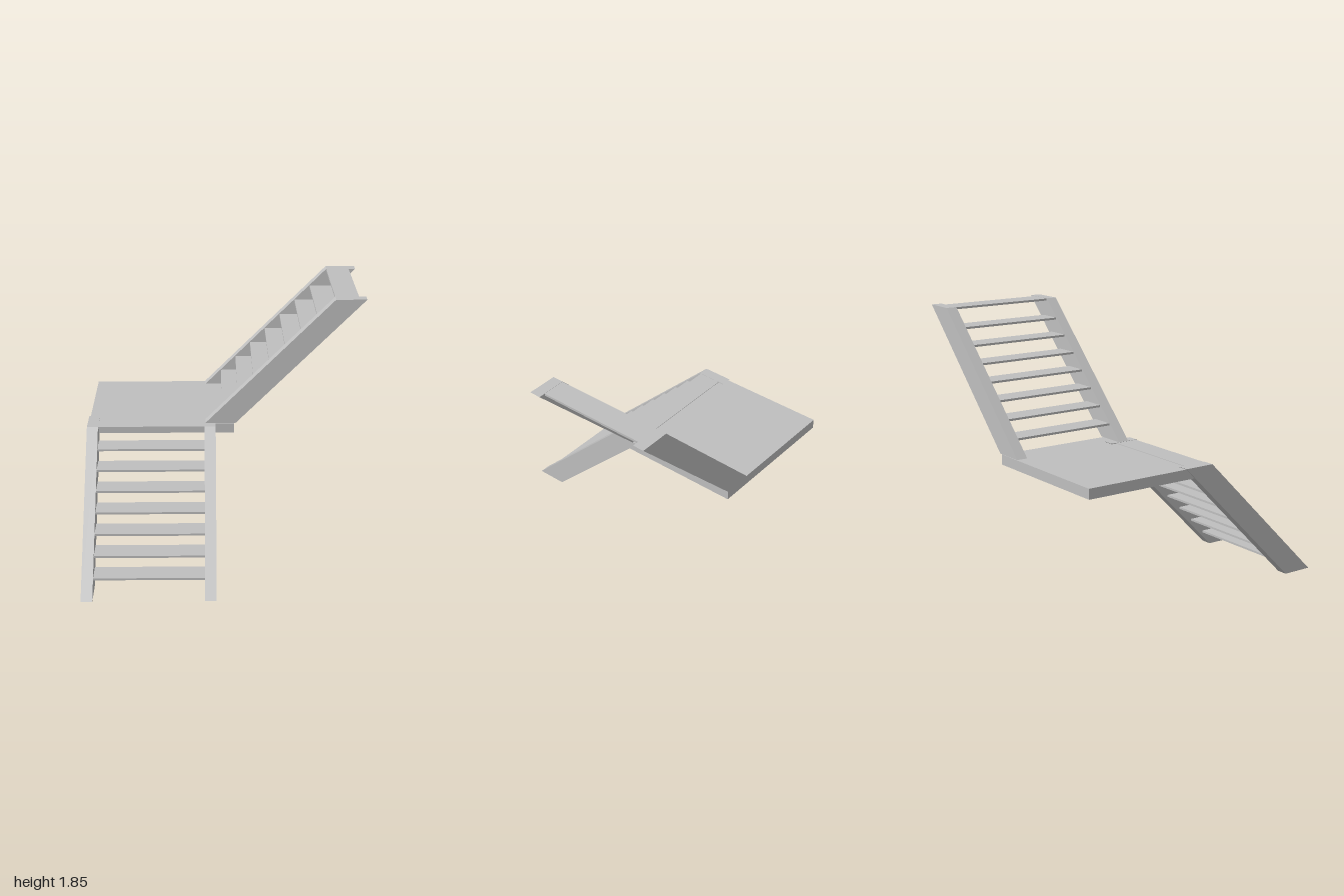
import * as THREE from 'three';

const WIDTH = 0.93, BOARD = 0.08, FOOT = 0.22, TREAD = 0.17, THICK = 0.015;

function addBox(parent, name, material, x0, x1, y0, y1, z0, z1) {
  const mesh = new THREE.Mesh(new THREE.BoxGeometry(x1 - x0, y1 - y0, z1 - z0), material);
  mesh.position.set((x0 + x1) / 2, (y0 + y1) / 2, (z0 + z1) / 2);
  mesh.name = name;
  parent.add(mesh);
}

// One straight flight climbing along local +x at 45 degrees, with open risers
function makeFlight(name, rise, material) {
  const flight = new THREE.Group();
  flight.name = name;

  // Sloped side boards, cut level at both ends
  const side = new THREE.Shape([
    new THREE.Vector2(0, 0),
    new THREE.Vector2(FOOT, 0),
    new THREE.Vector2(rise + FOOT, rise),
    new THREE.Vector2(rise, rise),
  ]);
  const sideGeometry = new THREE.ExtrudeGeometry(side, { depth: BOARD, bevelEnabled: false });
  for (const z of [0, WIDTH - BOARD]) {
    const stringer = new THREE.Mesh(sideGeometry, material);
    stringer.name = 'stringer';
    stringer.position.z = z;
    flight.add(stringer);
  }

  // Eight treads, the last one level with the top
  for (let i = 0; i < 8; i++) {
    const last = i === 7;
    const x = last ? 0.925 : 0.12 + i * 0.1133;
    const y = last ? rise - 0.009 : 0.108 + i * 0.1133;
    addBox(flight, 'tread', material, x, x + TREAD, y - THICK / 2, y + THICK / 2, BOARD, WIDTH - BOARD);
  }
  return flight;
}

export function createModel() {
  const model = new THREE.Group();
  model.name = 'staircase';
  const grey = new THREE.MeshStandardMaterial({ color: 0xbfbfbf });
  grey.name = 'grey';

  // Lower flight climbs towards the back
  const lower = makeFlight('lowerFlight', 0.92, grey);
  lower.rotation.y = Math.PI / 2;
  lower.position.set(-1, 0, 0.96);
  model.add(lower);

  // Upper flight turns towards +x
  const upper = makeFlight('upperFlight', 0.925, grey);
  upper.position.set(-0.145, 0.92, -0.96);
  model.add(upper);

  // Landing: thin deck on a rim frame with one middle joist
  const landing = new THREE.Group();
  landing.name = 'landing';
  const x0 = -0.99, x1 = 0.065, z0 = -0.955, z1 = -0.035, y0 = 0.843, y1 = 0.9, rim = 0.05;
  addBox(landing, 'deck', grey, x0, x1, y1, 0.915, z0, z1);
  addBox(landing, 'frontRim', grey, x0, x1, y0, y1, z1 - rim, z1);
  addBox(landing, 'backRim', grey, x0, x1, y0, y1, z0, z0 + rim);
  for (const [name, x] of [['sideRim', x0], ['joist', -0.49], ['sideRim', x1 - rim]]) {
    addBox(landing, name, grey, x, x + rim, y0, y1, z0 + rim, z1 - rim);
  }
  model.add(landing);

  return model;
}
